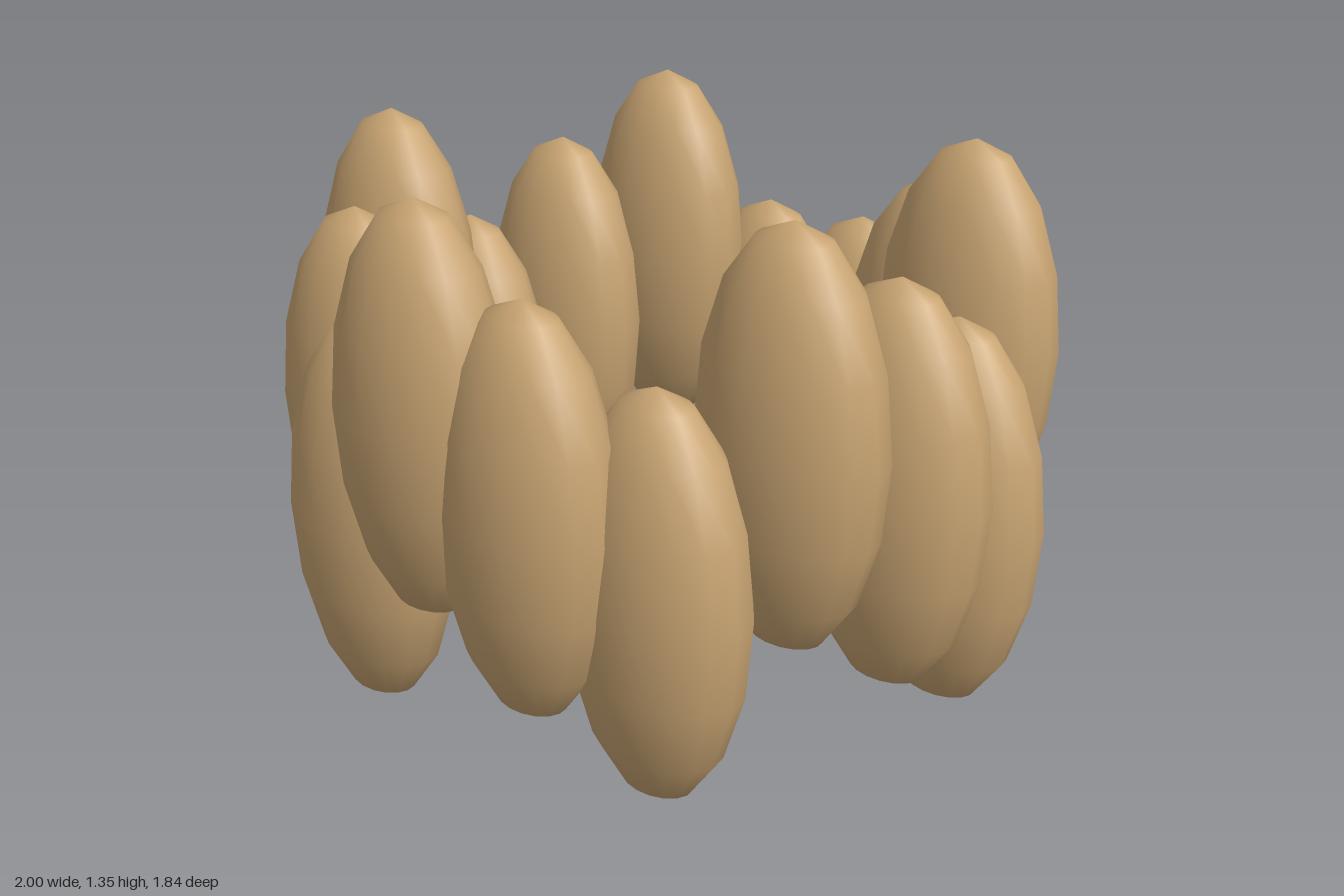
import * as THREE from 'three';

export function createModel() {
  const group = new THREE.Group();
  group.name = 'stoneRing';

  const tan = new THREE.MeshStandardMaterial({ color: 0xc8a472 });
  tan.name = 'tan';

  // One tall, smooth pebble shared by the whole ring
  const pebble = new THREE.SphereGeometry(1, 16, 8);
  pebble.scale(0.25, 0.5, 0.172);

  // Ring starts at the back; heights cycle low, middle, high
  const count = 16, radius = 0.75;
  for (let i = 0; i < count; i++) {
    const angle = (i / count) * Math.PI * 2;
    const mesh = new THREE.Mesh(pebble, tan);
    mesh.name = `pebble${i + 1}`;
    mesh.position.set(radius * Math.sin(angle), 0.5 + (i % 3) * 0.175, -radius * Math.cos(angle));
    group.add(mesh);
  }
  return group;
}
